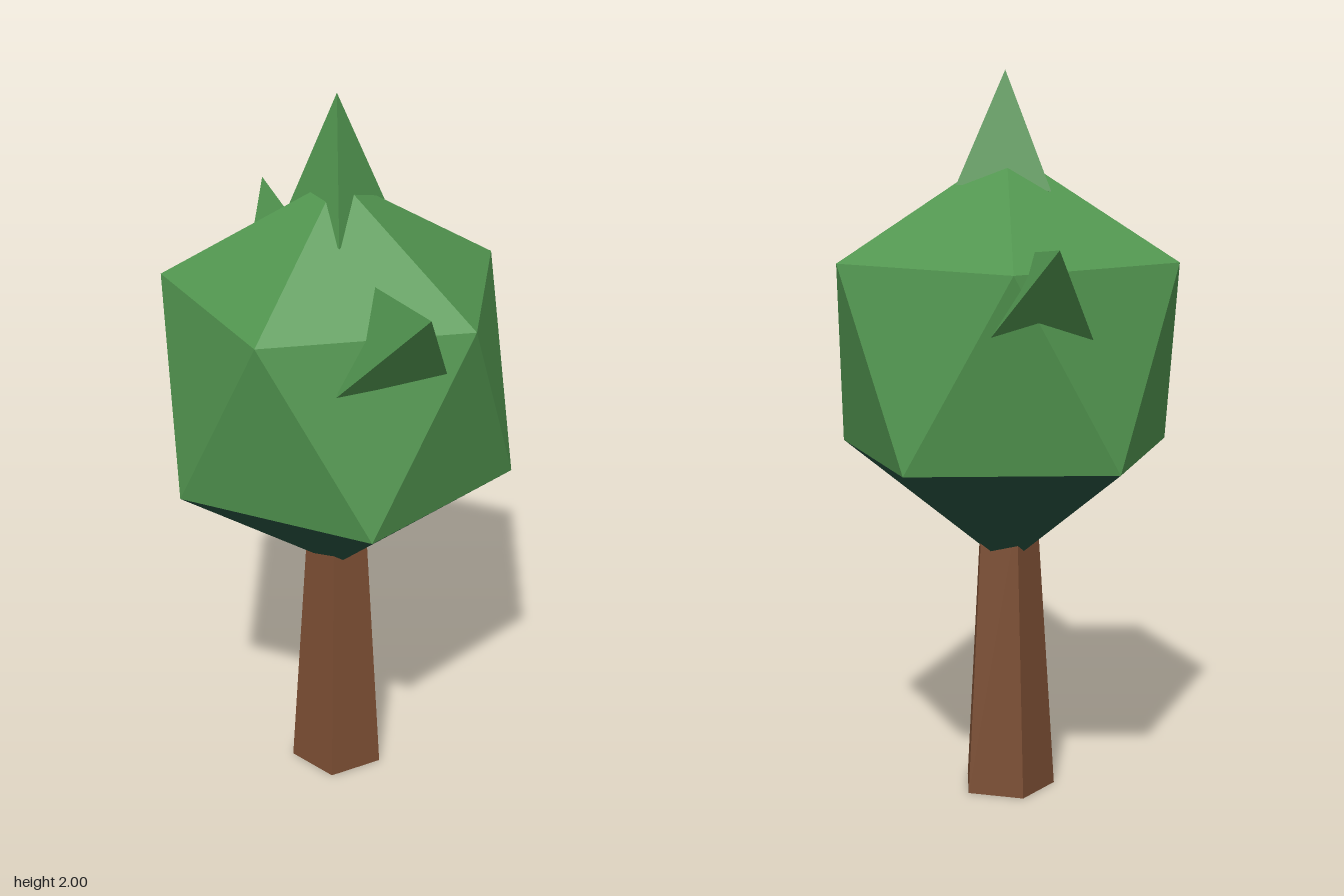
import * as THREE from 'three';

const mat = (name, color) => {
  const m = new THREE.MeshStandardMaterial({ color, flatShading: true });
  m.name = name;
  return m;
};

// Flat-faced mesh from a list of corner points, three per triangle
function facets(name, points, material) {
  const g = new THREE.BufferGeometry().setFromPoints(points);
  g.computeVertexNormals();
  const mesh = new THREE.Mesh(g, material);
  mesh.name = name;
  return mesh;
}

// Three-sided spike; its edges run a little past the foot points into the crown
function spike(name, tip, feet, extend, material) {
  const t = new THREE.Vector3(...tip);
  const f = feet.map(p => new THREE.Vector3(...p).sub(t).multiplyScalar(extend).add(t));
  // Order the feet so that every face looks outward
  const normal = f[1].clone().sub(f[0]).cross(f[2].clone().sub(f[0]));
  if (normal.dot(t.clone().sub(f[0])) < 0) f.reverse();
  const pts = [f[2], f[1], f[0]];
  for (let i = 0; i < 3; i++) pts.push(t, f[i], f[(i + 1) % 3]);
  return facets(name, pts, material);
}

export function createModel() {
  const group = new THREE.Group();
  const bark = mat('bark brown', 0x7b4e33);
  const leaf = mat('leaf green', 0x529650);
  const shade = mat('underside dark green', 0x26503f);

  // Tapered five-sided trunk
  const trunkGeo = new THREE.CylinderGeometry(0.085, 0.135, 0.8, 5).toNonIndexed();
  trunkGeo.computeVertexNormals();
  const trunk = new THREE.Mesh(trunkGeo, bark);
  trunk.name = 'trunk';
  trunk.rotation.y = Math.PI;
  trunk.position.set(0.003, 0.4, 0);
  group.add(trunk);

  // Crown: twenty-faced ball with a dark lower cap
  const cx = 0.003;
  const ring = (k, y, turn) => {
    const a = (k + turn) * Math.PI * 0.4;
    return new THREE.Vector3(cx + 0.478 * Math.cos(a), y, 0.478 * Math.sin(a));
  };
  const top = new THREE.Vector3(cx, 1.79, 0);
  const bottom = new THREE.Vector3(cx, 0.64, 0);
  const crown = [], under = [];
  for (let k = 0; k < 5; k++) {
    const u0 = ring(k, 1.497, 0), u1 = ring(k + 1, 1.497, 0);
    const l0 = ring(k, 0.97, 0.5), l1 = ring(k + 1, 0.97, 0.5);
    crown.push(top, u1, u0, u0, u1, l0, u1, l1, l0);
    under.push(l0, l1, bottom);
  }
  group.add(facets('crown', crown, leaf), facets('crownUnderside', under, shade));

  // Pointed leaf tufts
  group.add(
    spike('topTuft', [-0.03, 2, -0.03],
      [[0.03, 1.715, -0.14], [-0.14, 1.7, 0.03], [0.12, 1.68, 0.12]], 1.06, leaf),
    spike('leftTuft', [0.575, 1.645, 0.285],
      [[0.255, 1.59, 0.125], [0.45, 1.4, 0.075], [0.305, 1.375, 0.31]], 1.05, leaf),
    spike('rightTuft', [-0.58, 1.575, -0.295],
      [[-0.325, 1.545, -0.165], [-0.418, 1.325, -0.05], [-0.33, 1.34, -0.31]], 1.05, leaf)
  );
  return group;
}
